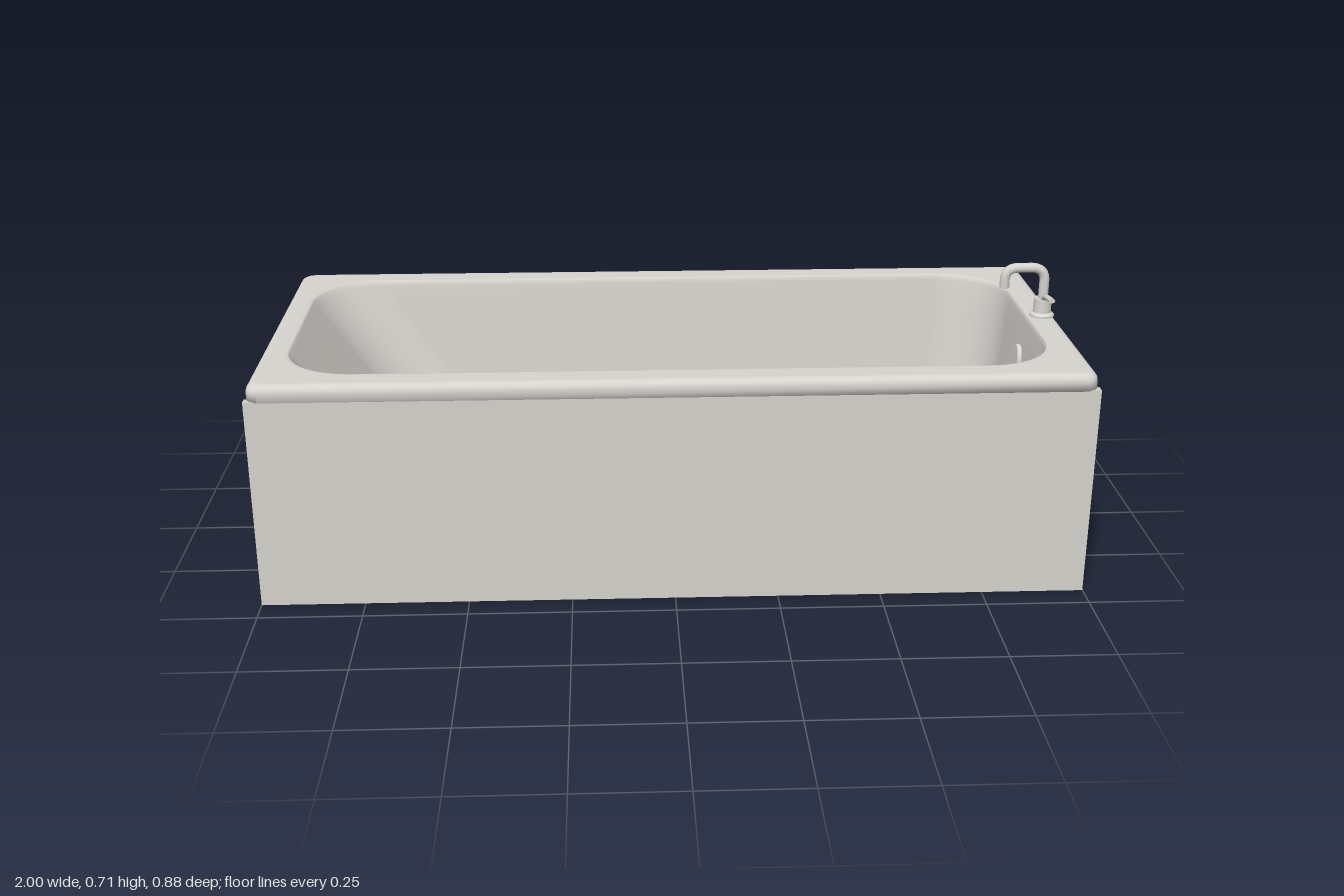
import * as THREE from 'three';

// One horizontal rounded-rectangle section of the tub
function ring([y, x0, x1, zh, r], steps = 14) {
  const points = [];
  const corners = [[x1 - r, zh - r], [x0 + r, zh - r], [x0 + r, r - zh], [x1 - r, r - zh]];
  corners.forEach(([cx, cz], q) => {
    for (let i = 0; i <= steps; i++) {
      const a = (q + i / steps) * Math.PI / 2;
      points.push([cx + r * Math.cos(a), y, cz + r * Math.sin(a)]);
    }
  });
  return points;
}

// Skin joining successive closed sections
function loft(sections) {
  const rings = sections.map(s => ring(s));
  const n = rings[0].length, index = [];
  for (let k = 0; k < rings.length - 1; k++) {
    for (let i = 0; i < n; i++) {
      const j = (i + 1) % n;
      const a = k * n + i, b = k * n + j, c = a + n, d = b + n;
      index.push(a, c, b, b, c, d);
    }
  }
  const g = new THREE.BufferGeometry();
  g.setAttribute('position', new THREE.Float32BufferAttribute(rings.flat(2), 3));
  g.setIndex(index);
  g.computeVertexNormals();
  return g;
}

export function createModel() {
  const model = new THREE.Group();
  const enamel = new THREE.MeshStandardMaterial({ color: 0xd6d4ce, side: THREE.DoubleSide });
  enamel.name = 'warm white enamel';

  const add = (name, geometry, x = 0, y = 0, z = 0, parent = model) => {
    const mesh = new THREE.Mesh(geometry, enamel);
    mesh.name = name;
    mesh.position.set(x, y, z);
    parent.add(mesh);
    return mesh;
  };

  // Rim and basin in one skin: y, x min, x max, half depth, corner radius
  const sections = [[0.524, -0.98, 0.98, 0.42, 0.02], [0.524, -0.996, 0.996, 0.438, 0.03]];
  for (let i = 0; i <= 6; i++) { // rounded outer edge
    const a = i / 6 * Math.PI / 2, d = 0.02 * (1 - Math.cos(a));
    sections.push([0.545 + 0.02 * Math.sin(a), d - 0.995, 0.995 - d, 0.437 - d, 0.03]);
  }
  sections.push(
    [0.565, -0.97, 0.97, 0.412, 0.03],
    [0.565, -0.94, 0.93, 0.368, 0.175],
    [0.565, -0.932, 0.923, 0.362, 0.172],
    [0.562, -0.928, 0.92, 0.359, 0.17],
    [0.552, -0.922, 0.917, 0.356, 0.17]
  );
  for (const y of [0.5, 0.4, 0.3, 0.22]) { // walls, with a sloped backrest
    const t = (0.552 - y) / 0.332;
    sections.push([y, -0.922 + 0.24 * t, 0.917 - 0.032 * t, 0.356 - 0.03 * t, 0.17 - 0.01 * t]);
  }
  for (let i = 1; i <= 8; i++) { // curve from wall into floor
    const a = i / 8 * Math.PI / 2, c = 1 - Math.cos(a), s = Math.sin(a);
    sections.push([0.22 - 0.14 * s, -0.682 + 0.07 * s + 0.2 * c, 0.885 - 0.01 * s - 0.085 * c,
      0.326 - 0.01 * s - 0.07 * c, 0.16 - 0.05 * c]);
  }
  sections.push([0.08, -0.39, 0.78, 0.235, 0.1], [0.08, -0.2, 0.55, 0.002, 0.001]);
  add('tub', loft(sections));

  // Surround panels
  for (const s of [-1, 1]) {
    add(s > 0 ? 'frontPanel' : 'backPanel', new THREE.BoxGeometry(2, 0.526, 0.022), 0, 0.263, s * 0.426);
    add(s > 0 ? 'leftEndPanel' : 'rightEndPanel',
      new THREE.BoxGeometry(0.02, 0.522, 0.826), s * 0.985, 0.263, 0);
  }

  // Drain dome on the floor and overflow disc on the end wall
  const drain = add('drain', new THREE.SphereGeometry(0.042, 28, 10, 0, Math.PI * 2, 0, Math.PI / 2), 0.735, 0.08, 0);
  drain.scale.y = 0.4;
  const overflow = add('overflow', new THREE.CylinderGeometry(0.034, 0.037, 0.012, 28), 0.903, 0.45, 0);
  overflow.rotation.z = Math.PI / 2 - 0.1;

  // Tap
  const tap = new THREE.Group();
  tap.name = 'tap';
  tap.position.set(0.96, 0.565, 0);
  model.add(tap);
  const body = [[0, 0], [0.031, 0], [0.031, 0.005], [0.026, 0.009], [0.023, 0.011], [0.022, 0.047], [0, 0.047]]
    .map(p => new THREE.Vector2(...p));
  const lathe = new THREE.LatheGeometry(body, 28).toNonIndexed();
  lathe.computeVertexNormals();
  add('tapBody', lathe, 0, 0, 0, tap);

  // Spout: riser, two bends and a short drop
  const v = (x, y, z = 0) => new THREE.Vector3(x, y, z);
  const spout = new THREE.CurvePath();
  spout.add(new THREE.LineCurve3(v(0, 0.04), v(0, 0.092)));
  spout.add(new THREE.QuadraticBezierCurve3(v(0, 0.092), v(0, 0.128), v(-0.036, 0.128)));
  spout.add(new THREE.LineCurve3(v(-0.036, 0.128), v(-0.068, 0.128)));
  spout.add(new THREE.QuadraticBezierCurve3(v(-0.068, 0.128), v(-0.102, 0.128), v(-0.102, 0.098)));
  spout.add(new THREE.LineCurve3(v(-0.102, 0.098), v(-0.102, 0.076)));
  add('spout', new THREE.TubeGeometry(spout, 48, 0.0125, 16), 0, 0, 0, tap);
  const tip = add('spoutTip', new THREE.CircleGeometry(0.0125, 16), -0.102, 0.077, 0, tap);
  tip.rotation.x = Math.PI / 2;

  // Lever reaching toward the front
  const lever = new THREE.CatmullRomCurve3([v(0, 0.044), v(0, 0.05, 0.015), v(0, 0.059, 0.03), v(0, 0.067, 0.088)]);
  const handle = add('lever', new THREE.TubeGeometry(lever, 24, 0.006, 10), 0, 0, 0, tap);
  handle.scale.x = 1.4;
  const end = add('leverEnd', new THREE.CircleGeometry(0.006, 10), 0, 0.067, 0.088, tap);
  end.scale.x = 1.4;

  return model;
}
